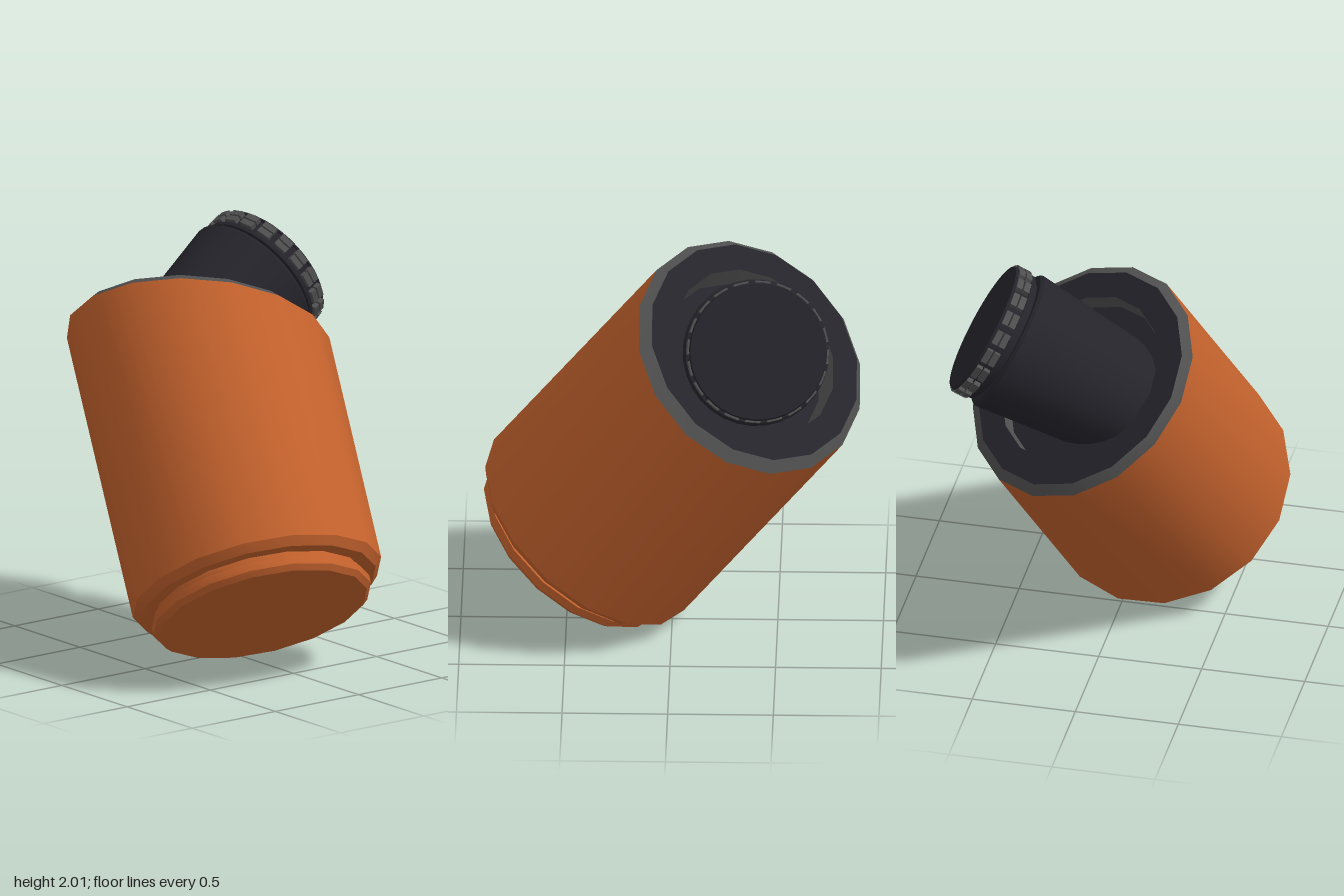
import * as THREE from 'three';
import { toCreasedNormals } from 'three/addons/utils/BufferGeometryUtils.js';

const paint = (color) => new THREE.MeshStandardMaterial({ color });
const ORANGE = paint(0xc4622d), DARK = paint(0x25242b), GREY = paint(0x505050);

// Direction of the body, normal of its slanted top, and direction of the spout
const AXIS = new THREE.Vector3(0.189, 0.786, -0.589).normalize();
const TOP_NORMAL = new THREE.Vector3(0.454, 0.738, -0.498).normalize();
const SPOUT_AXIS = new THREE.Vector3(0.87, 0.48, -0.1).normalize();

// Revolve a profile listed as [radius, height], bottom to top; rule may move the vertices
function turned(name, profile, sides, material, rule) {
  const geo = new THREE.LatheGeometry(profile.map(([r, h]) => new THREE.Vector2(r, h)), sides);
  if (rule) {
    const p = geo.attributes.position;
    for (let i = 0; i < p.count; i++) p.setY(i, rule(p.getX(i), p.getY(i), p.getZ(i)));
  }
  const mesh = new THREE.Mesh(toCreasedNormals(geo, 0.5), material);
  mesh.name = name;
  return mesh;
}

function makeBody() {
  const body = new THREE.Group();
  body.name = 'body';
  // Local frame: y along the body, z towards the lowest point of the base
  const z = new THREE.Vector3(0, -1, 0).addScaledVector(AXIS, AXIS.y).normalize();
  const x = new THREE.Vector3().crossVectors(AXIS, z);
  body.quaternion.setFromRotationMatrix(new THREE.Matrix4().makeBasis(x, AXIS, z));
  body.position.set(-0.165, 0.312, 0.48);

  // Slant everything near the top
  const k = TOP_NORMAL.dot(AXIS), sx = TOP_NORMAL.dot(x) / k, sz = TOP_NORMAL.dot(z) / k;
  const slant = (px, py, pz) => (py > 1 ? py - sx * px - sz * pz : py);

  body.add(
    turned('shell', [
      [0, 0], [0.505, 0], [0.53, 0.025], [0.53, 0.065], [0.505, 0.075],
      [0.505, 0.1], [0.57, 0.1], [0.605, 0.14], [0.605, 1.44],
    ], 16, ORANGE, slant),
    turned('rimBevel', [[0.605, 1.44], [0.56, 1.48]], 16, GREY, slant),
    turned('topPlate', [[0.56, 1.48], [0.43, 1.48]], 16, DARK, slant),
    turned('recessWall', [[0.43, 1.48], [0.42, 1.38]], 16, GREY, slant),
    turned('recessFloor', [[0.42, 1.38], [0, 1.38]], 16, DARK, slant),
  );
  return body;
}

function makeSpout() {
  const spout = new THREE.Group();
  spout.name = 'spout';
  // Origin at the middle of the cap's outer face
  spout.position.set(0.58, 1.715, -0.42);
  spout.quaternion.setFromUnitVectors(new THREE.Vector3(0, 1, 0), SPOUT_AXIS);
  spout.add(
    turned('tube', [[0, -0.95], [0.265, -0.95], [0.348, -0.14], [0.335, -0.125], [0, -0.125]], 32, DARK),
    turned('neck', [[0.3, -0.13], [0.3, -0.09]], 32, DARK),
    turned('cap', [
      [0, -0.105], [0.325, -0.105], [0.325, -0.085], [0.315, -0.085],
      [0.315, -0.012], [0.328, -0.012], [0.322, 0], [0, 0],
    ], 40, DARK),
  );

  // Two rows of grip blocks around the cap
  const block = new THREE.BoxGeometry(0.07, 0.03, 0.03);
  const grip = new THREE.Group();
  grip.name = 'grip';
  const count = 20;
  for (let i = 0; i < count; i++) {
    const a = (i / count) * Math.PI * 2;
    for (const h of [-0.065, -0.027]) {
      const mesh = new THREE.Mesh(block, GREY);
      mesh.name = 'gripBlock';
      mesh.position.set(Math.sin(a) * 0.321, h, Math.cos(a) * 0.321);
      mesh.rotation.y = a;
      grip.add(mesh);
    }
  }
  spout.add(grip);
  return spout;
}

export function createModel() {
  const model = new THREE.Group();
  model.name = 'tiltedContainer';
  model.add(makeBody(), makeSpout());
  return model;
}
